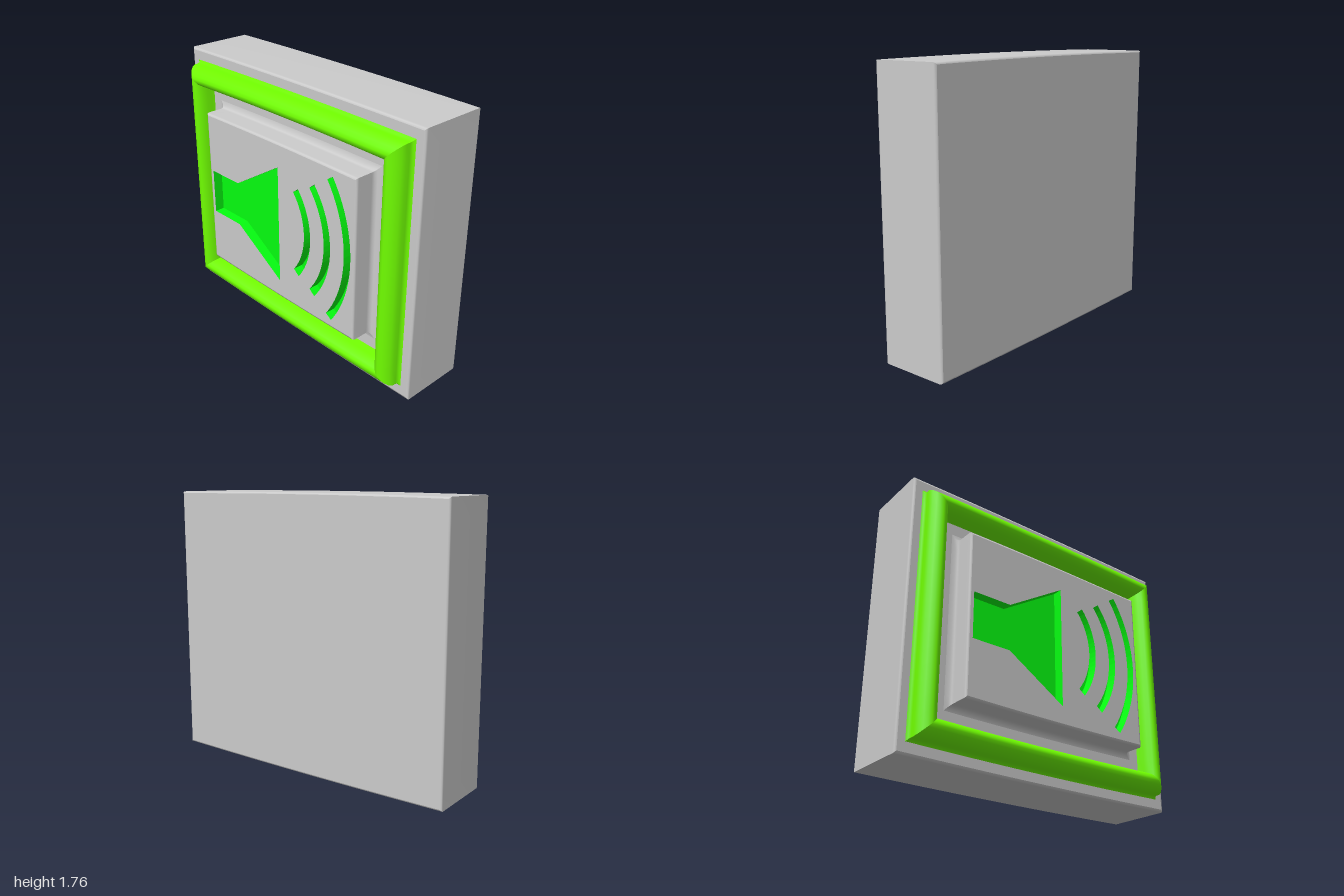
import * as THREE from 'three';

const MID = 0.88; // height of the panel centre
const SEG = 16;   // divisions along each side

// Point on one side of a rectangle; top and bottom edges bow out slightly
function edgePoint(side, t, hx, hy, bow) {
  const b = hy + bow * (1 - t * t);
  return [[t * hx, -b], [hx, t * hy], [-t * hx, b], [-hx, -t * hy]][side];
}

// Sweeps a profile of [inset, z] pairs around a rectangle with mitred corners
function sweepRect(w, h, profile, bow) {
  const pos = [], idx = [], row = profile.length;
  for (let side = 0; side < 4; side++) {
    const start = pos.length / 3;
    for (let i = 0; i <= SEG; i++) {
      for (const [d, z] of profile) {
        pos.push(...edgePoint(side, (i / SEG) * 2 - 1, w - d, h - d, bow), z);
      }
    }
    for (let i = 0; i < SEG; i++) {
      for (let j = 0; j < row - 1; j++) {
        const a = start + i * row + j, b = a + row;
        idx.push(a, b, b + 1, a, b + 1, a + 1);
      }
    }
  }
  const g = new THREE.BufferGeometry();
  g.setAttribute('position', new THREE.Float32BufferAttribute(pos, 3));
  g.setIndex(idx);
  g.computeVertexNormals();
  return g;
}

// Flat outline that closes a swept rectangle
function rectShape(w, h, bow) {
  const pts = [];
  for (let side = 0; side < 4; side++) {
    for (let i = 0; i < SEG; i++) {
      pts.push(new THREE.Vector2(...edgePoint(side, (i / SEG) * 2 - 1, w, h, bow)));
    }
  }
  return new THREE.Shape(pts);
}

// Walls running around a counter-clockwise outline, facing inwards
function recessWalls(points, z0, z1) {
  const pos = [];
  points.forEach((p, i) => {
    const q = points[(i + 1) % points.length];
    pos.push(p.x, p.y, z0, q.x, q.y, z1, q.x, q.y, z0);
    pos.push(p.x, p.y, z0, p.x, p.y, z1, q.x, q.y, z1);
  });
  const g = new THREE.BufferGeometry();
  g.setAttribute('position', new THREE.Float32BufferAttribute(pos, 3));
  g.computeVertexNormals();
  return g;
}

// Outline of a curved bar: a slice of a ring centred on (cx, 0)
function arcBar(cx, outer, inner, angle) {
  const pts = [], n = 20;
  const add = (r, a) => pts.push(new THREE.Vector2(cx + r * Math.cos(a), r * Math.sin(a)));
  for (let i = 0; i <= n; i++) add(outer, angle * ((2 * i) / n - 1));
  for (let i = n; i >= 0; i--) add(inner, angle * ((2 * i) / n - 1));
  return pts;
}

export function createModel() {
  const model = new THREE.Group();
  model.name = 'soundButton';
  const grey = new THREE.MeshStandardMaterial({ color: 0xcccccc });
  const lime = new THREE.MeshStandardMaterial({ color: 0x70ff00 });
  const green = new THREE.MeshStandardMaterial({ color: 0x05ff10, side: THREE.DoubleSide });

  const add = (parent, name, geometry, material) => {
    const mesh = new THREE.Mesh(geometry, material);
    mesh.name = name;
    parent.add(mesh);
    return mesh;
  };
  const part = (name) => {
    const g = new THREE.Group();
    g.name = name;
    g.position.y = MID;
    model.add(g);
    return g;
  };

  // Housing: block with softened front and back edges
  const housing = part('housing');
  const bodyProfile = [[0.012, -0.3], [0.004, -0.297], [0, -0.288], [0, 0.135], [0.004, 0.146], [0.015, 0.15]];
  add(housing, 'housingSides', sweepRect(1, 0.872, bodyProfile, 0.008), grey);
  add(housing, 'housingFront', new THREE.ShapeGeometry(rectShape(0.985, 0.857, 0.008)).translate(0, 0, 0.15), grey);
  add(housing, 'housingBack',
    new THREE.ShapeGeometry(rectShape(0.988, 0.86, 0.008)).rotateY(Math.PI).translate(0, 0, -0.3), grey);

  // Raised frame with a rounded section
  const frameProfile = [
    [-0.018, 0.15], [-0.005, 0.157], [0, 0.175], [0, 0.2], [0.01, 0.225], [0.027, 0.247], [0.046, 0.262],
    [0.066, 0.27], [0.083, 0.268], [0.102, 0.255], [0.117, 0.23], [0.126, 0.2], [0.13, 0.17], [0.135, 0.15],
  ];
  add(part('frame'), 'frameTrim', sweepRect(0.92, 0.78, frameProfile, 0.01), lime);

  // Symbol outlines: horn and three sound waves
  const horn = [[-0.64, -0.165], [-0.38, -0.165], [0.02, -0.415], [0.02, 0.38], [-0.38, 0.135], [-0.64, 0.135]]
    .map(([x, y]) => new THREE.Vector2(x, y));
  const symbols = {
    horn,
    smallWave: arcBar(-0.176, 0.481, 0.426, 0.674),
    middleWave: arcBar(-0.127, 0.602, 0.548, 0.682),
    largeWave: arcBar(-0.203, 0.843, 0.79, 0.606),
  };

  // Button: raised pad whose face is pierced by the symbols
  const button = part('button');
  const padProfile = [
    [-0.04, 0.15], [-0.015, 0.155], [-0.003, 0.167], [0, 0.185], [0, 0.285], [0.004, 0.296], [0.014, 0.3],
  ];
  add(button, 'buttonSides', sweepRect(0.675, 0.533, padProfile, 0.006), grey);
  const face = rectShape(0.661, 0.519, 0.006);
  for (const pts of Object.values(symbols)) face.holes.push(new THREE.Path(pts));
  add(button, 'buttonFace', new THREE.ShapeGeometry(face).translate(0, 0, 0.3), grey);

  // Coloured recesses behind the symbols
  const recess = part('symbolRecesses');
  for (const [name, pts] of Object.entries(symbols)) {
    add(recess, name + 'Floor', new THREE.ShapeGeometry(new THREE.Shape(pts)).translate(0, 0, 0.235), green);
    add(recess, name + 'Walls', recessWalls(pts, 0.235, 0.3), green);
  }
  return model;
}
